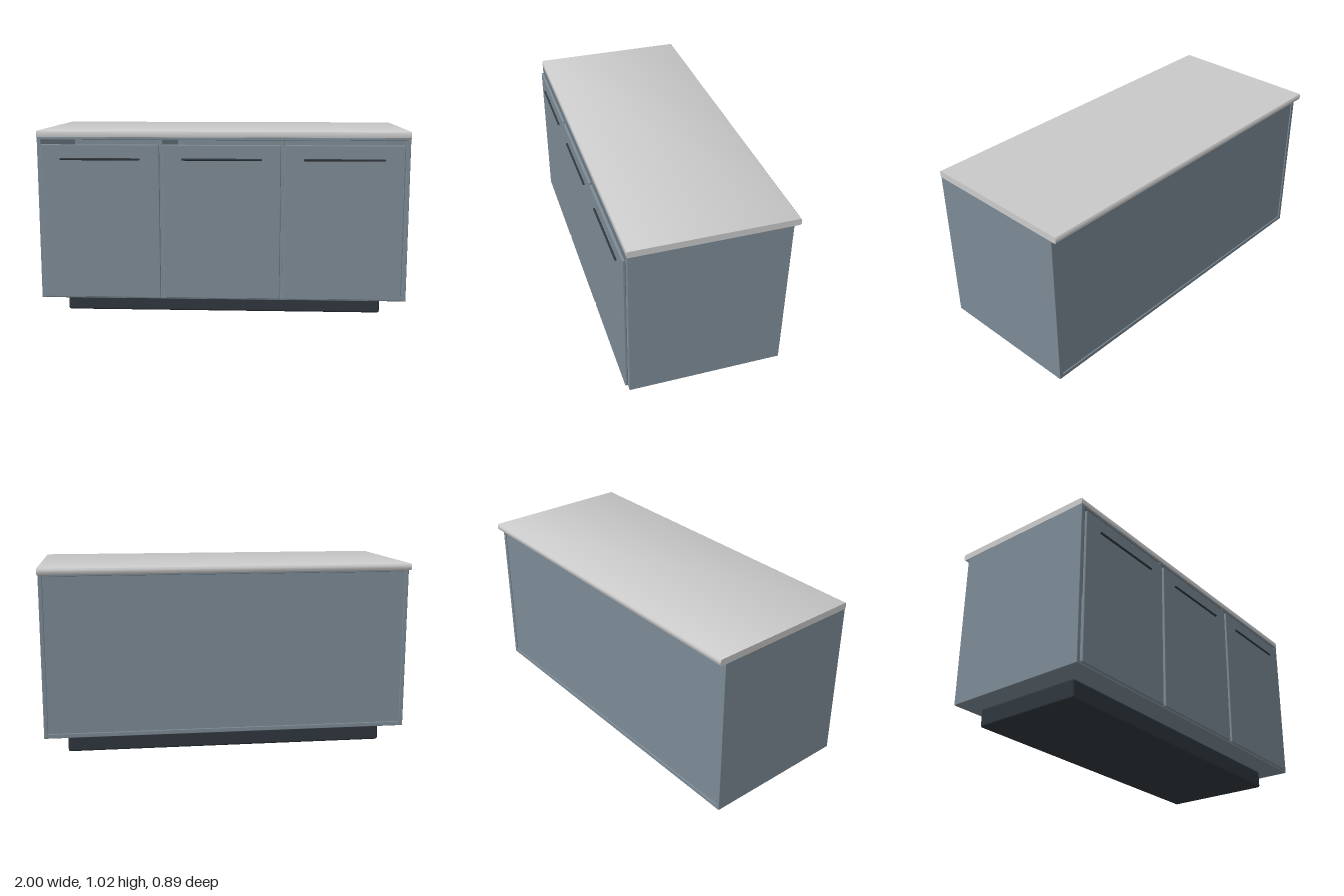
import * as THREE from 'three';
import { RoundedBoxGeometry } from 'three/addons/geometries/RoundedBoxGeometry.js';
import { toCreasedNormals } from 'three/addons/utils/BufferGeometryUtils.js';

const bodyMat = new THREE.MeshStandardMaterial({ color: 0x7d8b95 });
const darkMat = new THREE.MeshStandardMaterial({ color: 0x2f373d });
const topMat = new THREE.MeshStandardMaterial({ color: 0xcccccc });

// Rounded box given by its lower and upper corners
function slab(name, material, [x0, y0, z0], [x1, y1, z1], radius) {
  const geometry = new RoundedBoxGeometry(x1 - x0, y1 - y0, z1 - z0, 3, radius);
  const mesh = new THREE.Mesh(geometry, material);
  mesh.position.set((x0 + x1) / 2, (y0 + y1) / 2, (z0 + z1) / 2);
  mesh.name = name;
  return mesh;
}

// Worktop: side profile with softened edges, extruded along x
function createWorktop() {
  const front = 0.42, back = -0.445, low = 0.986, high = 1.022, rf = 0.006, rb = 0.011;
  // shape x = -z, shape y = height
  const shape = new THREE.Shape();
  shape.moveTo(-front + rf, low);
  shape.absarc(-back - rb, low + rb, rb, -Math.PI / 2, 0);
  shape.absarc(-back - rb, high - rb, rb, 0, Math.PI / 2);
  shape.absarc(-front + rf, high - rf, rf, Math.PI / 2, Math.PI);
  shape.absarc(-front + rf, low + rf, rf, Math.PI, Math.PI * 1.5);
  const geometry = new THREE.ExtrudeGeometry(shape, { depth: 2, bevelEnabled: false, curveSegments: 6 });
  geometry.translate(0, 0, -1).rotateY(Math.PI / 2);
  const mesh = new THREE.Mesh(toCreasedNormals(geometry, 0.7), topMat);
  mesh.name = 'worktop';
  return mesh;
}

export function createModel() {
  const model = new THREE.Group();
  model.name = 'cabinet';

  // Recessed base
  model.add(slab('plinth', darkMat, [-0.88, 0, -0.335], [0.875, 0.102, 0.298], 0.012));

  // Carcass: open-fronted box with a slightly inset back
  const carcass = new THREE.Group();
  carcass.name = 'carcass';
  const zb = -0.41, zf = 0.42, bottom = 0.102, top = 0.99, t = 0.024;
  for (const [name, s] of [['leftSide', 1], ['rightSide', -1]]) {
    const xs = [s * (1 - t), s * 0.998].sort((a, b) => a - b);
    carcass.add(slab(name, bodyMat, [xs[0], bottom, zb], [xs[1], top, zf], 0.003));
  }
  carcass.add(slab('floorPanel', bodyMat, [-0.98, bottom, zb], [0.98, bottom + t, zf], 0.003));
  carcass.add(slab('topPanel', bodyMat, [-0.98, 0.975, zb + 0.004], [0.98, top, zf], 0.003));
  carcass.add(slab('backPanel', bodyMat, [-0.98, bottom + 0.015, zb + 0.006], [0.98, 0.98, zb + 0.022], 0.002));
  for (const x of [-0.328, 0.322]) {
    carcass.add(slab('divider', bodyMat, [x - 0.009, bottom + 0.01, zb + 0.015], [x + 0.009, 0.98, zf - 0.002], 0.002));
  }
  model.add(carcass);

  // Three doors, each with a slim bar handle
  for (const [x0, x1] of [[-0.976, -0.336], [-0.32, 0.314], [0.33, 0.97]]) {
    const door = new THREE.Group();
    door.name = 'door';
    door.add(slab('doorPanel', bodyMat, [x0, 0.11, 0.419], [x1, 0.951, 0.435], 0.005));
    const bar = new THREE.Mesh(new THREE.CapsuleGeometry(0.006, 0.42, 4, 12), darkMat);
    bar.name = 'handle';
    bar.rotation.z = Math.PI / 2;
    bar.position.set((x0 + x1) / 2, 0.873, 0.439);
    door.add(bar);
    model.add(door);
  }

  model.add(createWorktop());
  return model;
}
